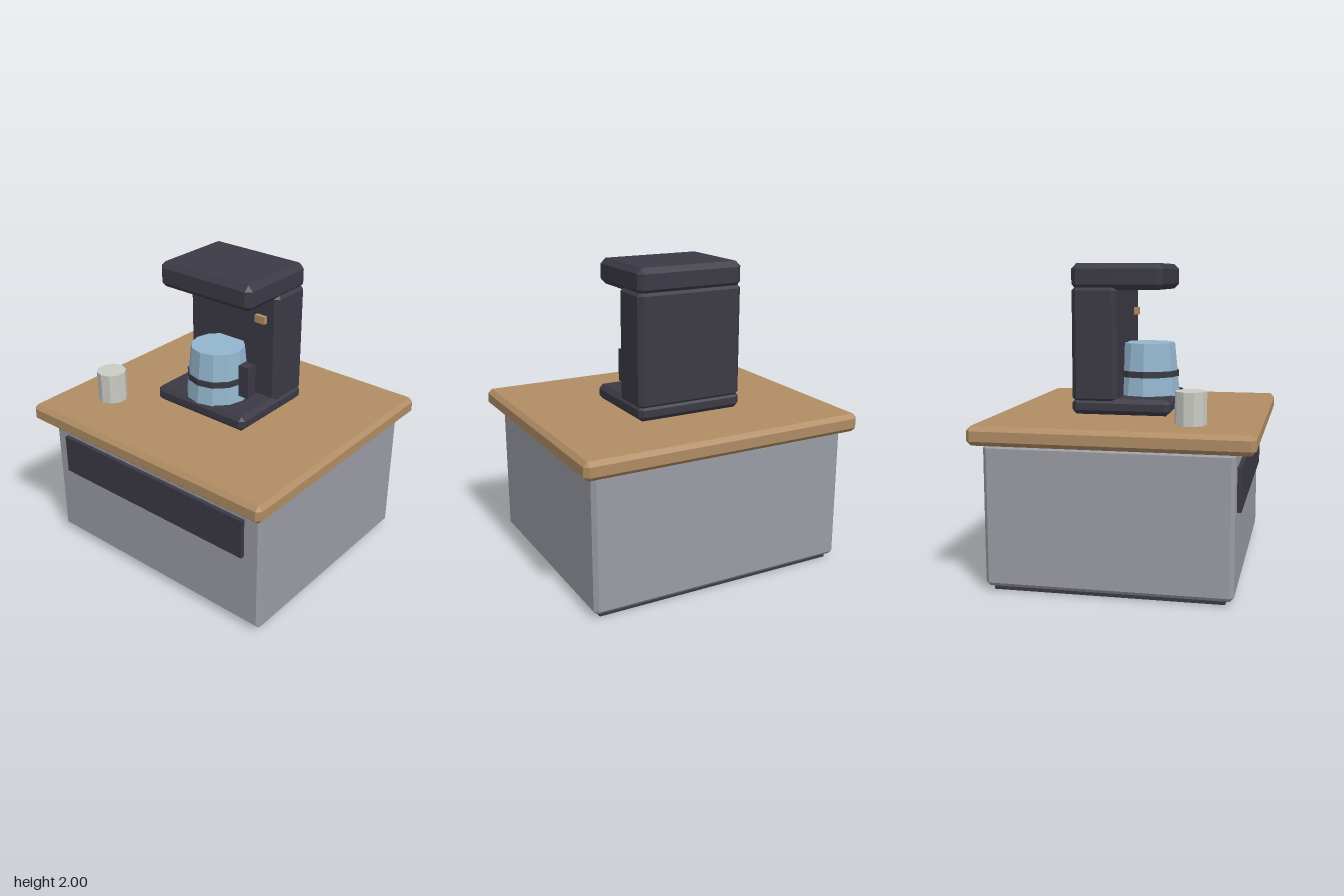
import * as THREE from 'three';
import { ConvexGeometry } from 'three/addons/geometries/ConvexGeometry.js';

const material = (name, color) => {
  const m = new THREE.MeshStandardMaterial({ color, flatShading: true });
  m.name = name;
  return m;
};

// Box given by its min/max corners, with every edge cut by a flat chamfer c
function chamferBox([x0, x1], [y0, y1], [z0, z1], c) {
  const half = [(x1 - x0) / 2, (y1 - y0) / 2, (z1 - z0) / 2];
  const points = [];
  for (const sx of [-1, 1]) for (const sy of [-1, 1]) for (const sz of [-1, 1]) {
    for (let axis = 0; axis < 3; axis++) {
      const p = half.map((h, i) => (i === axis ? h : h - c));
      points.push(new THREE.Vector3(p[0] * sx, p[1] * sy, p[2] * sz));
    }
  }
  return new ConvexGeometry(points).translate((x0 + x1) / 2, (y0 + y1) / 2, (z0 + z1) / 2);
}

function plainBox([x0, x1], [y0, y1], [z0, z1]) {
  return new THREE.BoxGeometry(x1 - x0, y1 - y0, z1 - z0)
    .translate((x0 + x1) / 2, (y0 + y1) / 2, (z0 + z1) / 2);
}

function cylinder(rTop, rBottom, [y0, y1], x, z, sides) {
  return new THREE.CylinderGeometry(rTop, rBottom, y1 - y0, sides).translate(x, (y0 + y1) / 2, z);
}

export function createModel() {
  const model = new THREE.Group();
  model.name = 'coffeeStation';

  const wood = material('wood', 0xb08c64);
  const grey = material('cabinetGrey', 0x9a9ca4);
  const dark = material('charcoal', 0x3b3a45);
  const glass = material('blueGlass', 0x92b5cc);
  const ceramic = material('ceramic', 0xcbcbc5);

  const add = (parent, name, geometry, mat) => {
    const mesh = new THREE.Mesh(geometry, mat);
    mesh.name = name;
    parent.add(mesh);
  };
  const group = (name) => {
    const g = new THREE.Group();
    g.name = name;
    model.add(g);
    return g;
  };

  // Cabinet with recessed plinth, drawer front and overhanging top
  const counter = group('counter');
  add(counter, 'plinth', plainBox([-0.84, 0.84], [0, 0.06], [-0.74, 0.69]), dark);
  add(counter, 'cabinet', chamferBox([-0.887, 0.887], [0.03, 0.92], [-0.785, 0.743], 0.025), grey);
  add(counter, 'drawerFront', plainBox([-0.767, 0.763], [0.545, 0.815], [0.73, 0.77]), dark);
  add(counter, 'countertop', chamferBox([-0.962, 0.962], [0.918, 1.037], [-0.863, 0.863], 0.028), wood);

  // Coffee machine: base tray, upright body and overhanging head
  const machine = group('coffeeMachine');
  const width = [-0.369, 0.367];
  add(machine, 'base', chamferBox(width, [1.037, 1.14], [-0.367, 0.274], 0.028), dark);
  add(machine, 'body', chamferBox(width, [1.11, 1.86], [-0.367, -0.073], 0.031), dark);
  add(machine, 'head', chamferBox(width, [1.832, 2], [-0.369, 0.22], 0.035), dark);
  add(machine, 'switch', plainBox([0.205, 0.282], [1.655, 1.705], [-0.09, -0.045]), wood);

  // Tapered jug with band and handle
  const jug = group('jug');
  add(jug, 'jugBody', cylinder(0.177, 0.211, [1.135, 1.482], 0, 0.071, 12), glass);
  add(jug, 'jugBand', cylinder(0.204, 0.204, [1.26, 1.3], 0, 0.071, 12), dark);
  add(jug, 'jugHandle', plainBox([0.205, 0.283], [1.19, 1.407], [0.038, 0.112]), dark);

  // Small cup on the counter
  add(model, 'cup', cylinder(0.098, 0.098, [1.035, 1.24], -0.62, 0.445, 10), ceramic);

  return model;
}
